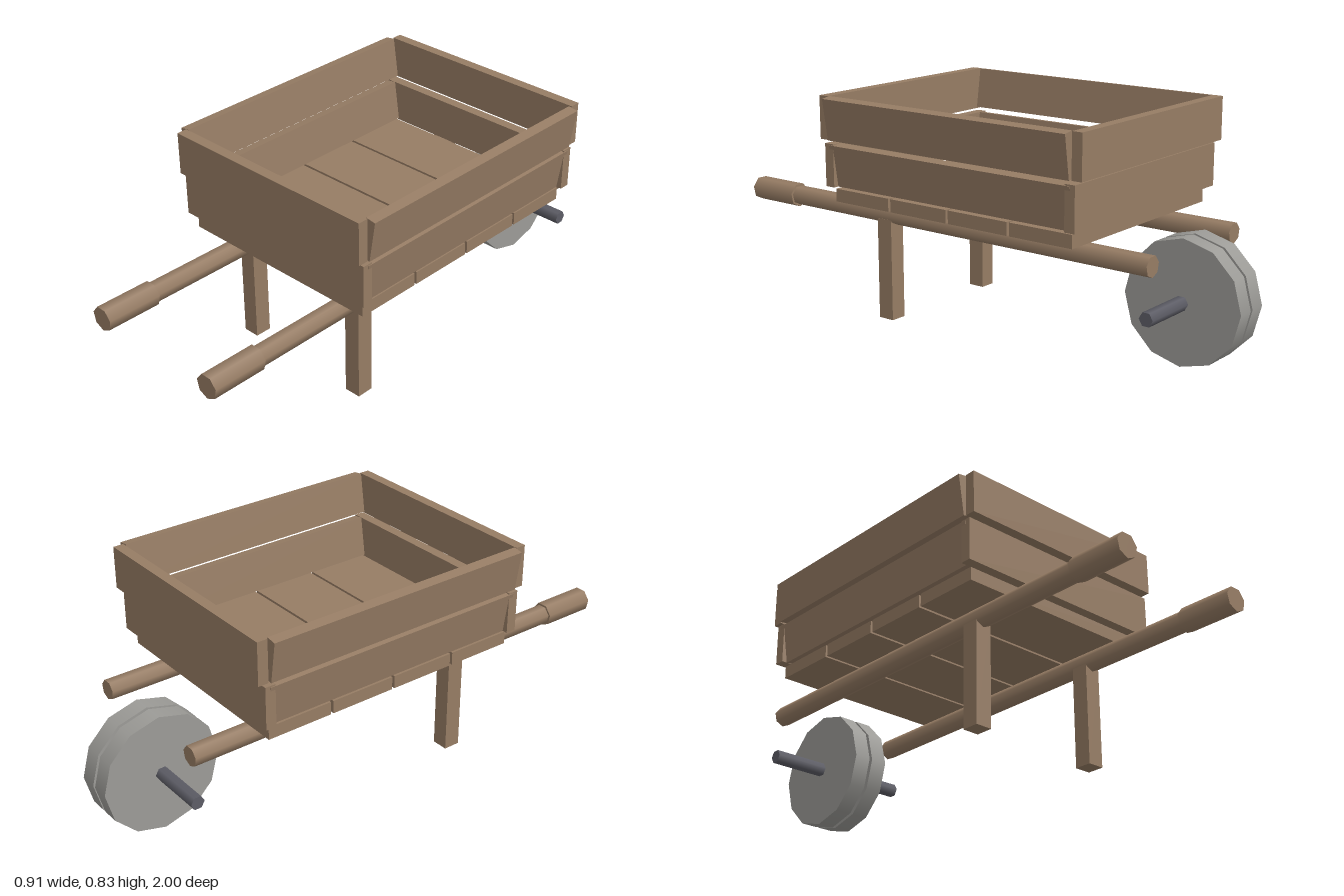
import * as THREE from 'three';

export function createModel() {
  const model = new THREE.Group();
  model.name = 'wheelbarrow';

  const wood = new THREE.MeshStandardMaterial({ name: 'brown wood', color: 0x967c64 });
  const stone = new THREE.MeshStandardMaterial({ name: 'grey wheel', color: 0x9c9b97 });
  const iron = new THREE.MeshStandardMaterial({ name: 'dark iron', color: 0x5d5d66 });

  const add = (name, geometry, material, x, y, z) => {
    const mesh = new THREE.Mesh(geometry, material);
    mesh.name = name;
    mesh.position.set(x, y, z);
    model.add(mesh);
    return mesh;
  };
  const box = (name, w, h, d, x, y, z) =>
    add(name, new THREE.BoxGeometry(w, h, d), wood, x, y, z);
  // Cylinders lying along z (poles) or along x (wheel and axle)
  const alongZ = (r, length, sides) =>
    new THREE.CylinderGeometry(r, r, length, sides).rotateX(Math.PI / 2);
  const alongX = (r, length, sides) =>
    new THREE.CylinderGeometry(r, r, length, sides).rotateZ(Math.PI / 2);

  // Tray floor: four planks with narrow gaps
  for (let i = 0; i < 4; i++) {
    box('floorPlank', 0.804, 0.047, 0.25, 0, 0.4665, 0.33 - i * 0.26);
  }

  // Tray walls: two courses, the upper one set further out
  const courses = [
    { y: 0.579, front: 0.458, back: -0.582, sideX: 0.40 },
    { y: 0.748, front: 0.479, back: -0.608, sideX: 0.427 },
  ];
  for (const { y, front, back, sideX } of courses) {
    box('frontBoard', 0.856, 0.156, 0.039, 0, y, front);
    box('backBoard', 0.856, 0.156, 0.039, 0, y, back);
    for (const s of [-1, 1]) {
      // Side boards lean outward
      box('sideBoard', 0.038, 0.152, 1.04, s * sideX, y, -0.063).rotation.z = -s * 0.15;
    }
  }

  // Poles, grips, legs and the paired wheel discs
  for (const s of [-1, 1]) {
    add('pole', alongZ(0.037, 1.585, 7), wood, s * 0.26, 0.391, 0.0075);
    add('grip', alongZ(0.045, 0.208, 7), wood, s * 0.26, 0.391, 0.896);
    box('leg', 0.063, 0.375, 0.064, s * 0.26, 0.1875, 0.328);
    add('wheelDisc', alongX(0.22, 0.064, 12), stone, s * 0.038, 0.222, -0.78);
  }
  add('axle', alongX(0.026, 0.572, 6), iron, 0, 0.222, -0.78);

  return model;
}
